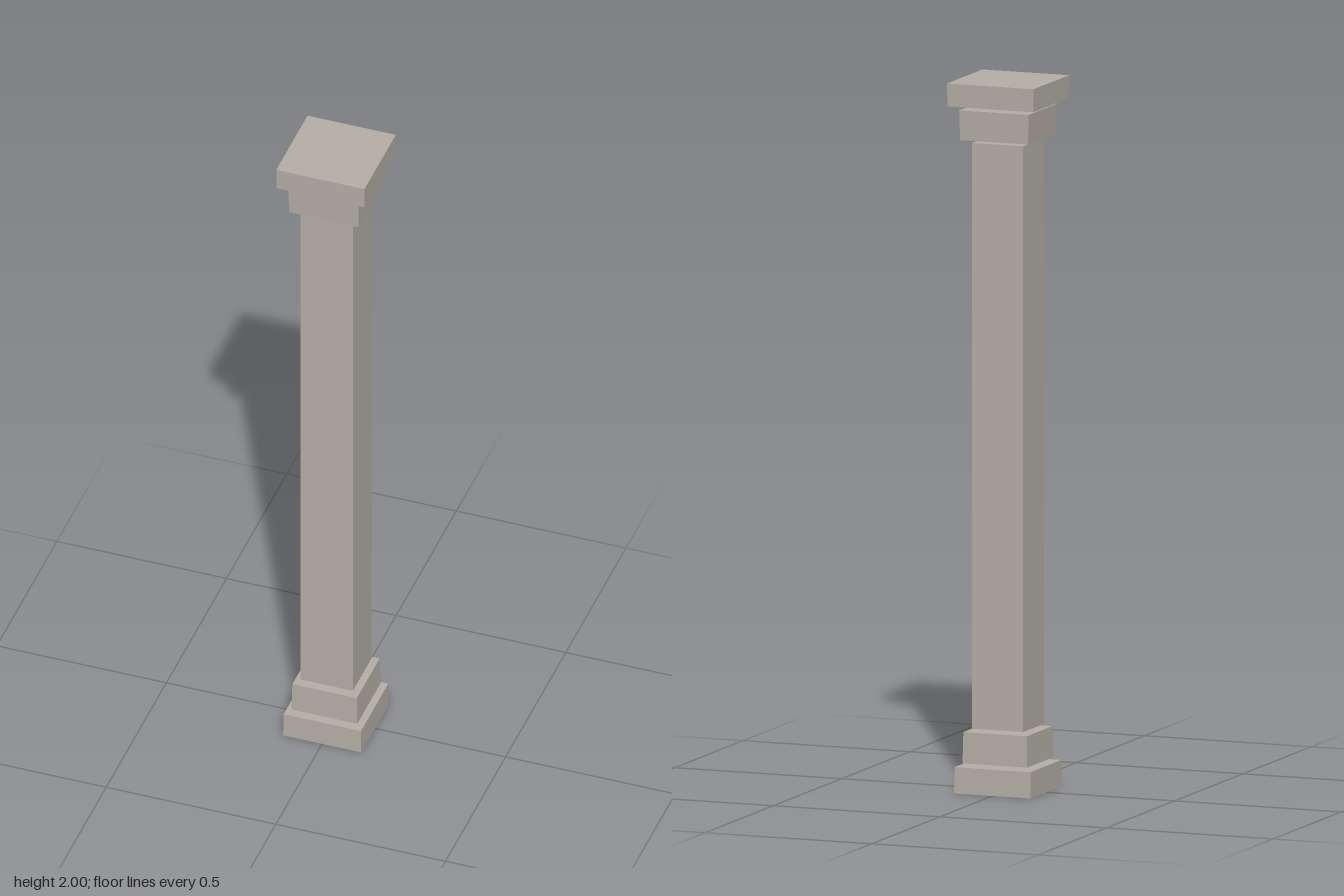
import * as THREE from 'three';

// Square stone block from y0 to y1, with its own half width at the bottom and top
function block(name, y0, y1, bottom, top, material) {
  const geometry = new THREE.BoxGeometry(2, y1 - y0, 2);
  const p = geometry.attributes.position;
  for (let i = 0; i < p.count; i++) {
    const half = p.getY(i) > 0 ? top : bottom;
    p.setX(i, p.getX(i) * half);
    p.setZ(i, p.getZ(i) * half);
  }
  geometry.computeVertexNormals();
  const mesh = new THREE.Mesh(geometry, material);
  mesh.name = name;
  mesh.position.y = (y0 + y1) / 2;
  return mesh;
}

export function createModel() {
  const stone = new THREE.MeshStandardMaterial({ color: 0xb5afa7 });
  stone.name = 'stone';

  const column = new THREE.Group();
  column.name = 'column';

  // Separate blocks with thin open joints between them
  column.add(
    block('plinth', 0, 0.074, 0.115, 0.114, stone),
    block('baseBlock', 0.083, 0.171, 0.097, 0.095, stone),
    block('shaft', 0.179, 1.828, 0.077, 0.077, stone),
    block('capitalBlock', 1.838, 1.922, 0.102, 0.104, stone),
    block('capitalSlab', 1.935, 2, 0.129, 0.13, stone),
  );
  return column;
}
